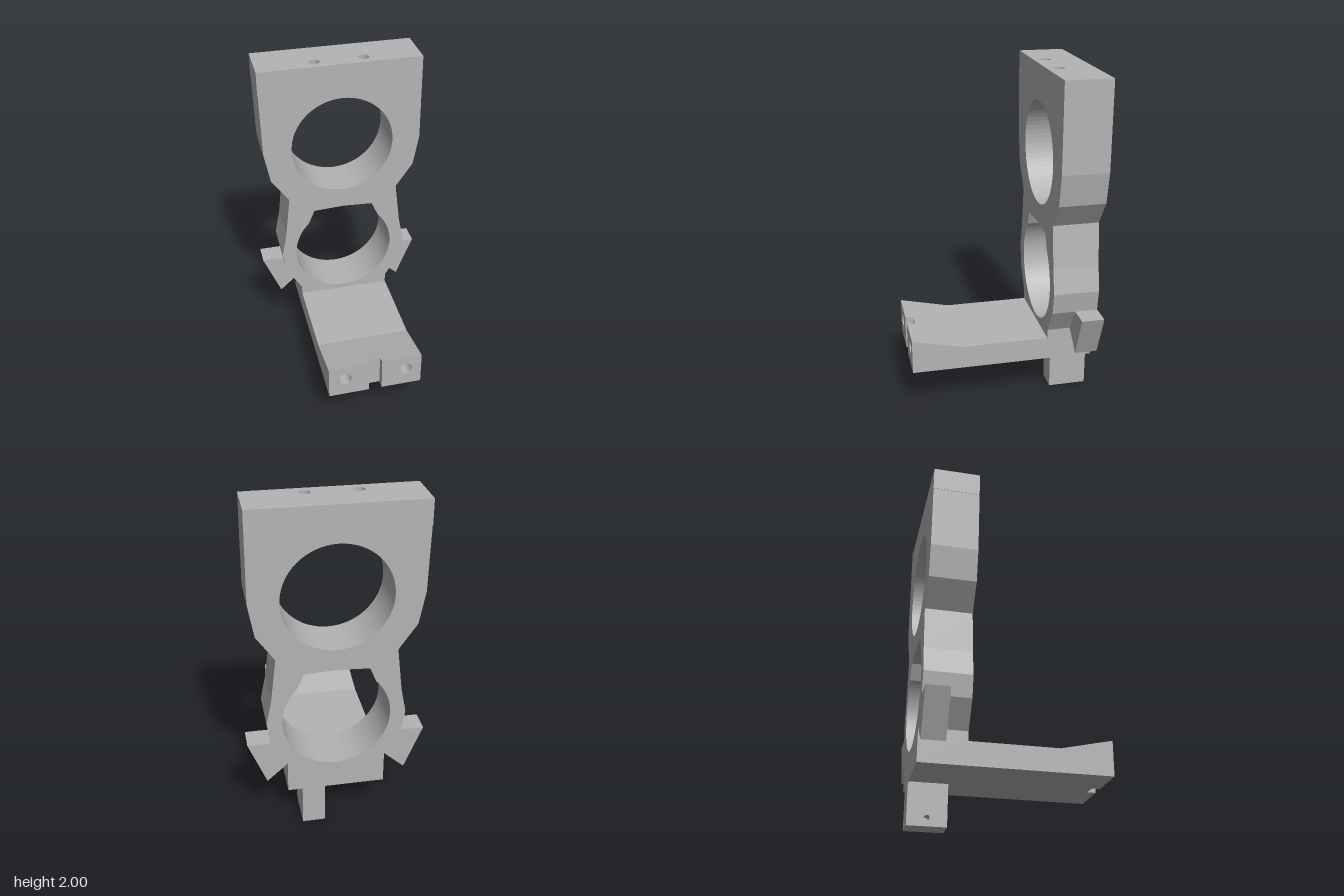
import * as THREE from 'three';

const gray = new THREE.MeshStandardMaterial({ color: 0xb4b4b4 });
gray.name = 'gray';

const shapeOf = (points) => new THREE.Shape(points.map(([x, y]) => new THREE.Vector2(x, y)));
const rect = (x0, y0, x1, y1) => shapeOf([[x0, y0], [x1, y0], [x1, y1], [x0, y1]]);

function drill(shape, x, y, radius) {
  const hole = new THREE.Path();
  hole.absarc(x, y, radius, 0, Math.PI * 2, true);
  shape.holes.push(hole);
}

// Extrude from start to end along z, or along x (shape u = -z), or y (shape v = -z)
function extrude(shape, start, end, axis = 'z') {
  const geometry = new THREE.ExtrudeGeometry(shape, { depth: end - start, bevelEnabled: false, curveSegments: 32 });
  geometry.translate(0, 0, start);
  if (axis === 'x') geometry.rotateY(Math.PI / 2);
  if (axis === 'y') geometry.rotateX(-Math.PI / 2);
  return geometry;
}

export function createModel() {
  const model = new THREE.Group();
  model.name = 'ringBracket';
  const add = (name, geometry) => {
    const mesh = new THREE.Mesh(geometry, gray);
    mesh.name = name;
    model.add(mesh);
  };

  const back = -0.55, face = -0.275, capBottom = 1.86;

  // Upright plate with a round opening above a keyed opening
  const plate = shapeOf([
    [-0.285, 0.25], [0.285, 0.25], [0.285, 0.445], [0.38, 0.6], [0.4, 0.73], [0.37, 0.88],
    [0.34, 1.14], [0.445, 1.29], [0.48, 1.48], [0.48, capBottom], [-0.488, capBottom],
    [-0.48, 1.48], [-0.445, 1.29], [-0.34, 1.14], [-0.37, 0.88], [-0.4, 0.73], [-0.38, 0.6], [-0.285, 0.445],
  ]);
  drill(plate, 0, 1.48, 0.31);
  const keyed = new THREE.Path();
  keyed.moveTo(-0.185, 1.035);
  keyed.lineTo(0, 1.045);
  keyed.lineTo(0.185, 1.035);
  keyed.absarc(0, 0.73, 0.31, 0.75, Math.PI - 0.77, true);
  keyed.closePath();
  plate.holes.push(keyed);
  add('uprightPlate', extrude(plate, back, face));

  // Top of the plate with two blind screw holes
  const cap = rect(-0.49, -face, 0.48, -back);
  for (const x of [-0.147, 0.142]) drill(cap, x, 0.345, 0.031);
  add('plateTop', extrude(cap, capBottom, 2, 'y'));

  // Slanted ears beside the lower opening
  for (const side of [-1, 1]) {
    const ear = shapeOf([[0.38, 0.6], [0.285, 0.445], [0.405, 0.335], [0.513, 0.6]].map(([x, y]) => [x * side, y]));
    add(side > 0 ? 'leftEar' : 'rightEar', extrude(ear, back, -0.415));
  }

  // Base tray, rising toward the front
  const rampStart = 0.245, lipStart = 0.38;
  const rampY = (z) => 0.39 + 0.07 * (z - rampStart) / (0.55 - rampStart);
  const tray = shapeOf([
    [-lipStart, 0.25], [-face, 0.25], [-face, 0.39], [-rampStart, 0.39], [-lipStart, rampY(lipStart)],
  ]);
  add('baseTray', extrude(tray, -0.285, 0.285, 'x'));

  // Front lip: two drilled cheeks with a slot between them
  for (const side of [-1, 1]) {
    const inner = side * 0.04, outer = side * 0.285;
    const cheek = rect(Math.min(inner, outer), 0.25, Math.max(inner, outer), 0.46);
    drill(cheek, side * 0.187, 0.37, 0.039);
    const geometry = extrude(cheek, lipStart, 0.55);
    const p = geometry.attributes.position;
    for (let i = 0; i < p.count; i++) if (p.getY(i) > 0.45) p.setY(i, rampY(p.getZ(i)));
    geometry.computeVertexNormals();
    add(side > 0 ? 'leftCheek' : 'rightCheek', geometry);
  }
  const slotBack = shapeOf([[-0.5, 0.25], [-lipStart, 0.25], [-lipStart, rampY(lipStart)], [-0.5, rampY(0.5)]]);
  add('slotBack', extrude(slotBack, -0.04, 0.04, 'x'));

  // Offset foot with a small pin hole in its inner side
  const foot = rect(0.32, 0, 0.55, 0.25);
  add('footOuter', extrude(foot, 0.13, 0.2, 'x'));
  const drilledFoot = rect(0.32, 0, 0.55, 0.25);
  drill(drilledFoot, 0.435, 0.05, 0.015);
  add('footInner', extrude(drilledFoot, 0.065, 0.13, 'x'));

  return model;
}
